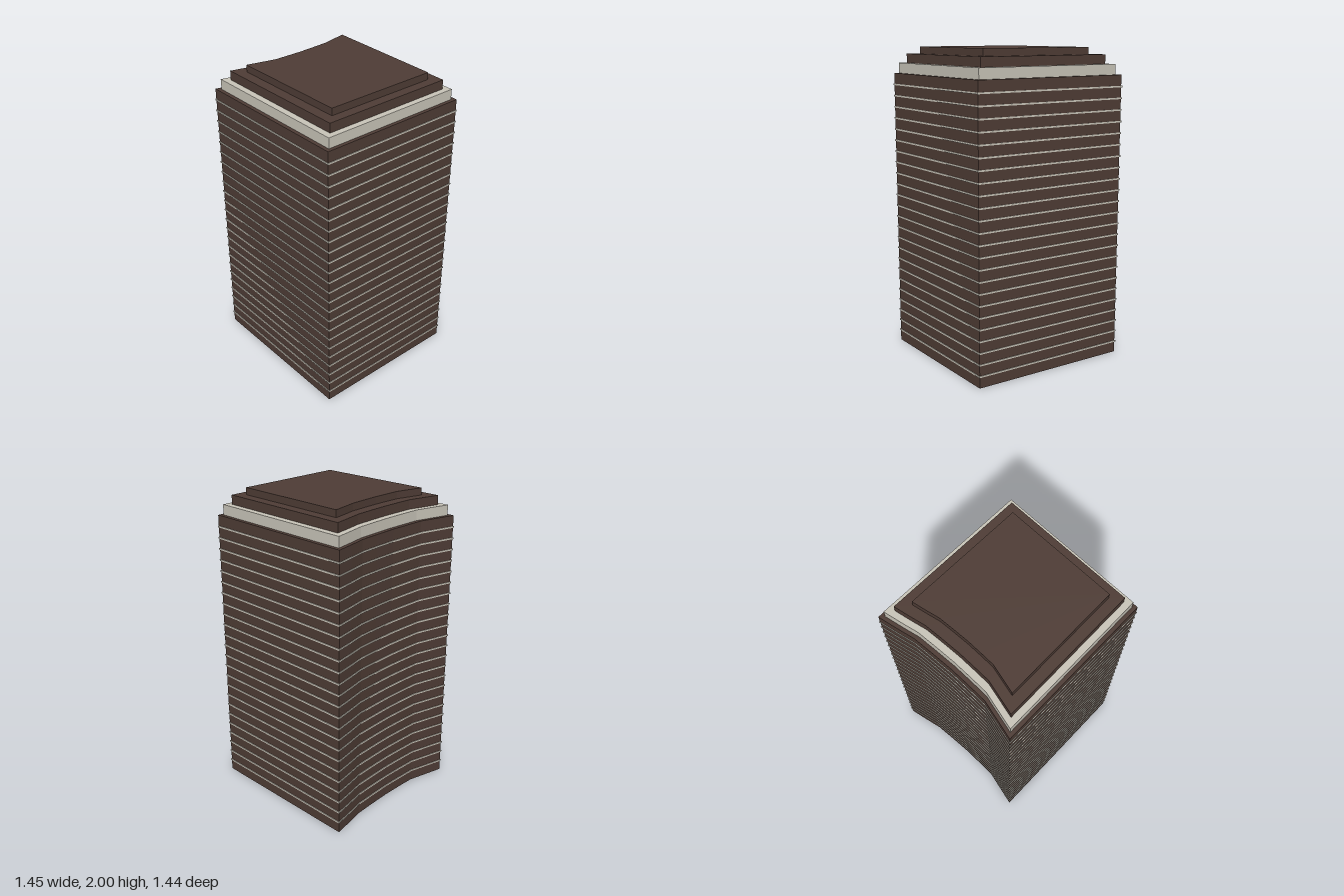
import * as THREE from 'three';

// Footprint corners (x, z): three straight sides and one concave side
const FOOTPRINT = [
  [-0.718, 0.148], [0.176, 0.711], [0.718, -0.126], [-0.164, -0.715],
  [-0.21, -0.6], [-0.253, -0.486], [-0.32, -0.366], [-0.393, -0.24],
  [-0.463, -0.132], [-0.533, -0.027],
];
const CENTRE = [0.055, 0.045];
const STOREYS = 25;
const WALL_TOP = 1.83;
const STOREY = WALL_TOP / STOREYS;

// Footprint scaled about its middle, as 2D points (x, -z)
function outline(scale) {
  return FOOTPRINT.map(([x, z]) => new THREE.Vector2(
    CENTRE[0] + (x - CENTRE[0]) * scale,
    -(CENTRE[1] + (z - CENTRE[1]) * scale)));
}

// Upright prism between two heights, optionally hollow
function prism(scale, y0, y1, holeScale) {
  const shape = new THREE.Shape(outline(scale));
  if (holeScale) shape.holes.push(new THREE.Path(outline(holeScale)));
  const geometry = new THREE.ExtrudeGeometry(shape, { depth: y1 - y0, bevelEnabled: false });
  geometry.rotateX(-Math.PI / 2);
  geometry.translate(0, y0, 0);
  return geometry;
}

export function createModel() {
  const brown = new THREE.MeshStandardMaterial({ color: 0x4e3c35 });
  brown.name = 'dark brown cladding';
  const stone = new THREE.MeshStandardMaterial({ color: 0xc8c4b8 });
  stone.name = 'pale stone';

  const tower = new THREE.Group();
  tower.name = 'tower';
  const add = (name, geometry, material, parent = tower) => {
    const mesh = new THREE.Mesh(geometry, material);
    mesh.name = name;
    parent.add(mesh);
  };

  // Open ground storey, then the main shaft
  add('groundStorey', prism(1, 0, STOREY, 0.995), brown);
  add('shaft', prism(1, STOREY, WALL_TOP), brown);

  // Thin floor slabs that stand slightly proud of the walls
  const slabs = new THREE.Group();
  slabs.name = 'floorSlabs';
  tower.add(slabs);
  const slab = prism(1.009, -0.005, 0.005);
  for (let i = 1; i < STOREYS; i++) {
    add('floorSlab' + i, slab, stone, slabs);
    slabs.children[i - 1].position.y = i * STOREY;
  }

  // Stepped crown
  add('paleCrown', prism(0.951, WALL_TOP, 1.896), stone);
  add('roofStep', prism(0.87, 1.896, 1.955), brown);
  add('roofCap', prism(0.738, 1.955, 2), brown);

  return tower;
}
